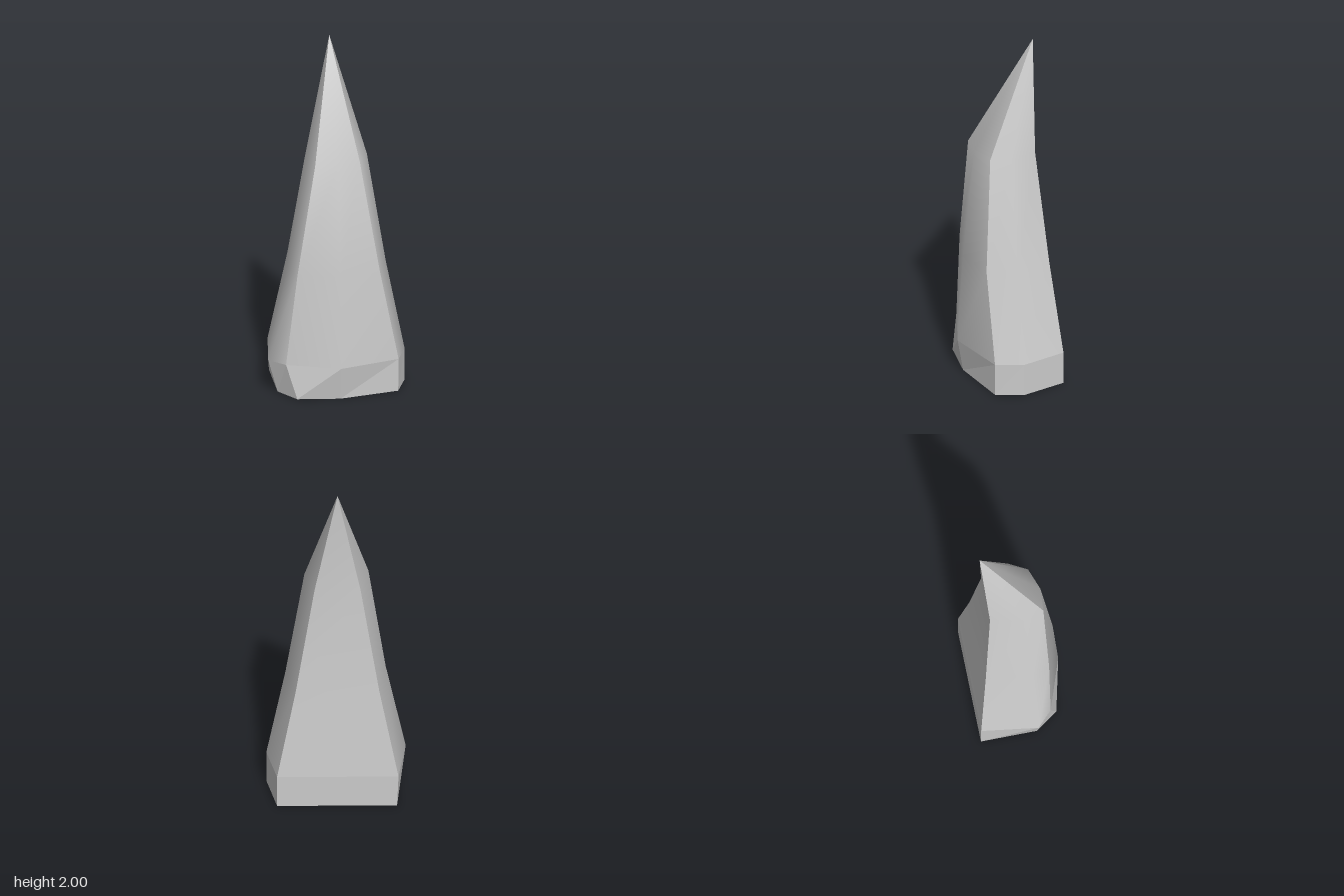
import * as THREE from 'three';
import { mergeVertices } from 'three/addons/utils/BufferGeometryUtils.js';

// Each ring runs round the outline: front-left edge, front ridge, front-right edge,
// right ridge, back-right, back-left, left ridge. Points are [x, z].
const rings = [
  { y: 0, p: [[-0.242, 0.191], [-0.005, 0.217], [0.325, 0.15], [0.381, 0], [0.325, -0.25], [-0.335, -0.25], [-0.333, 0.065]] },
  { y: 0.19, p: [[-0.298, 0.148], [-0.005, 0.248], [0.327, 0.152], [0.382, 0], [0.325, -0.25], [-0.343, -0.25], [-0.385, 0.065]] },
  { y: 0.72, p: [[-0.235, 0.152], [-0.005, 0.217], [0.222, 0.163], [0.277, 0], [0.222, -0.204], [-0.238, -0.204], [-0.275, 0.05]] },
  { y: 1.36, p: [[-0.135, 0.139], [-0.007, 0.148], [0.118, 0.103], [0.173, 0], [0.118, -0.16], [-0.135, -0.16], [-0.18, 0.033]] },
  { y: 2, p: Array(7).fill([-0.008, -0.193]) }, // tip
];

const material = new THREE.MeshStandardMaterial({ color: 0xcccccc });

// Skins the given columns between two ring levels, either smooth or faceted.
function panel(name, columns, from, to, smooth) {
  const pos = [];
  const add = (c, r) => pos.push(rings[r].p[c][0], rings[r].y, rings[r].p[c][1]);
  for (let r = from; r < to; r++) {
    for (let k = 0; k < columns.length - 1; k++) {
      const a = columns[k], b = columns[k + 1];
      add(a, r); add(b, r); add(b, r + 1);
      if (r + 1 < rings.length - 1) { add(a, r); add(b, r + 1); add(a, r + 1); }
    }
  }
  let geometry = new THREE.BufferGeometry();
  geometry.setAttribute('position', new THREE.Float32BufferAttribute(pos, 3));
  if (smooth) geometry = mergeVertices(geometry);
  geometry.computeVertexNormals();
  const mesh = new THREE.Mesh(geometry, material);
  mesh.name = name;
  return mesh;
}

export function createModel() {
  const group = new THREE.Group();
  group.name = 'spike';

  // Faceted band around the foot
  group.add(panel('baseBand', [0, 1, 2, 3, 4, 5, 6, 0], 0, 1, false));

  // Tapering sides, smooth within each panel and sharp where panels meet
  const sides = { frontFace: [0, 1, 2], rightFace: [2, 3, 4], backFace: [4, 5], leftFace: [5, 6, 0] };
  for (const [name, columns] of Object.entries(sides)) {
    group.add(panel(name, columns, 1, 4, true));
  }

  // Flat underside
  const outline = new THREE.Shape(rings[0].p.map(([x, z]) => new THREE.Vector2(x, z)));
  const underside = new THREE.Mesh(new THREE.ShapeGeometry(outline).rotateX(Math.PI / 2), material);
  underside.name = 'underside';
  group.add(underside);

  return group;
}
